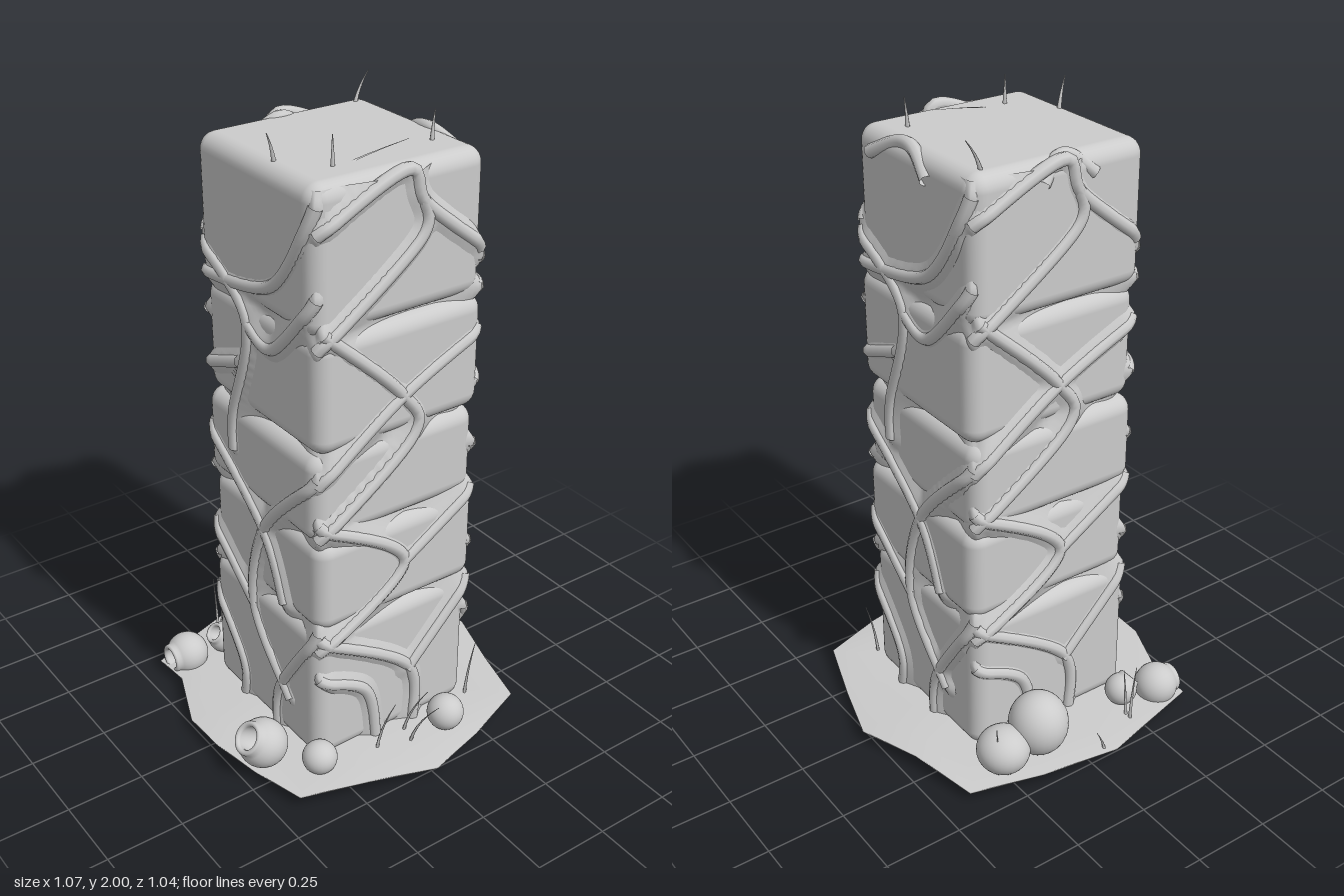
import * as THREE from 'three';
import { RoundedBoxGeometry } from 'three/addons/geometries/RoundedBoxGeometry.js';

const grey = new THREE.MeshStandardMaterial({ color: 0xcccccc, side: THREE.DoubleSide });
const SIDE = 0.6;   // width of one pillar face
const CX = 0.012;   // pillar centre in x

function add(parent, name, geometry) {
  const mesh = new THREE.Mesh(geometry, grey);
  mesh.name = name;
  parent.add(mesh);
  return mesh;
}

// Closed-around surface from a rule: columns run counter-clockwise, rows run upwards
function loft(rows, cols, rule) {
  const pos = [], index = [];
  for (let j = 0; j <= rows; j++)
    for (let i = 0; i < cols; i++) pos.push(...rule(i, j).toArray());
  for (let j = 0; j < rows; j++)
    for (let i = 0; i < cols; i++) {
      const a = j * cols + i, b = j * cols + (i + 1) % cols;
      index.push(a, b, a + cols, b, b + cols, a + cols);
    }
  const g = new THREE.BufferGeometry();
  g.setAttribute('position', new THREE.Float32BufferAttribute(pos, 3));
  g.setIndex(index);
  g.computeVertexNormals();
  return g;
}

// Point on the rounded-square outline; s = 0..4 runs front, +x, back, -x
function onPillar(s, y, half) {
  s = (s + 4) % 4;
  const f = Math.floor(s), t = (s - f) * 2 - 1, r = 0.06, k = half - r;
  const [x, z] = [[t, 1], [1, -t], [-t, -1], [-1, t]][f].map(v => v * half);
  const c = v => THREE.MathUtils.clamp(v, -k, k);
  const d = new THREE.Vector2(x - c(x), z - c(z)).setLength(r);
  return new THREE.Vector3(c(x) + d.x + CX, y, c(z) + d.y);
}

// Root paths as [across the face 0..1, height]; opposite faces share a set
const FRONT_ROOTS = [
  [[1, 1.86], [0.65, 1.58], [0, 1.5]],
  [[0, 1.6], [0.43, 1.43], [0.28, 1.1], [0.27, 0.97]],
  [[1, 1.6], [0.65, 1.39], [0.43, 1.42]],
  [[0, 1.2], [0.35, 1.28]],
  [[1, 1.05], [0.54, 0.77], [0.42, 0.45], [0.75, 0.2]],
  [[0, 1], [0.52, 0.77], [0.71, 0.55]],
  [[0, 0.65], [0.43, 0.45]],
  [[1, 0.52], [0.66, 0.22], [0.62, 0.05]],
  [[0, 0.4], [0.29, 0.19], [0.3, 0.05]],
];
const SIDE_ROOTS = [
  [[0, 1.78], [0.5, 1.91], [0.62, 1.8], [1, 1.62]],
  [[0.6, 1.82], [0.58, 1.7], [0, 1.45]],
  [[0.05, 1.5], [0.5, 1.25], [0.57, 1.1], [0, 0.85]],
  [[1, 1.38], [0.5, 1.24], [0, 1.03]],
  [[0, 0.9], [0.54, 0.68], [0, 0.45]],
  [[1, 0.85], [0.54, 0.68]],
  [[0, 0.5], [0.57, 0.28], [0.62, 0.05]],
  [[1, 0.52], [0.57, 0.26]],
  [[0, 0.35], [0.3, 0.25], [0.37, 0.05]],
];

// Thin tapering blade bending from (x, y, z) by a lean to its tip height
function blade(parent, y, radius, [x, z, leanX, leanZ, tip]) {
  const curve = new THREE.QuadraticBezierCurve3(
    new THREE.Vector3(x, y, z),
    new THREE.Vector3(x + leanX * 0.2, (y + tip) / 2, z + leanZ * 0.2),
    new THREE.Vector3(x + leanX, tip, z + leanZ));
  add(parent, 'grassBlade', loft(5, 5, (i, j) => {
    const w = i / 5 * Math.PI * 2, r = radius * (1 - j / 6);
    return curve.getPoint(j / 5).add(new THREE.Vector3(Math.sin(w) * r, 0, Math.cos(w) * r));
  }));
}

// Round hollow jar whose mouth points along (0, up, out)
function jar(parent, [x, y, z, r, up, out]) {
  const points = [];
  for (let i = 0; i <= 20; i++) {   // outer wall
    const a = Math.PI * 0.75 * i / 20;
    points.push(new THREE.Vector2(Math.sin(a) * r, -Math.cos(a) * r));
  }
  for (let i = 1; i <= 8; i++) {    // rolled lip
    const a = Math.PI * i / 8;
    points.push(new THREE.Vector2((0.58 + 0.12 * Math.cos(a)) * r, (0.82 + 0.14 * Math.sin(a)) * r));
  }
  points.push(new THREE.Vector2(0.5 * r, 0), new THREE.Vector2(0, -0.3 * r));
  const mesh = add(parent, 'jar', new THREE.LatheGeometry(points, 28));
  mesh.position.set(x, y, z);
  mesh.rotation.x = Math.atan2(out, up);
}

export function createModel() {
  const group = new THREE.Group();

  // Uneven ground sheet
  const rim = [[-0.1, 0.51], [0.06, 0.51], [0.22, 0.47], [0.4, 0.425], [0.47, 0.22], [0.53, 0], [0.48, -0.2],
    [0.405, -0.405], [0.2, -0.47], [0, -0.53], [-0.2, -0.46], [-0.42, -0.405],
    [-0.49, -0.18], [-0.535, 0.07], [-0.43, 0.435], [-0.3, 0.43]];
  const rows = [[0, 0.03], [0.62, 0.03], [0.85, 0.028], [1, 0.04], [1, 0.046], [0.85, 0.05], [0.62, 0.06], [0, 0.06]];
  add(group, 'ground', loft(rows.length - 1, rim.length, (i, j) => {
    const [k, y] = rows[j], [x, z] = rim[i];
    return new THREE.Vector3(x * k, y + 0.009 * Math.sin(i * 2.1) * k * k, z * k);
  }));

  // Stacked stone blocks
  const seams = [0.04, 0.52, 0.83, 1.12, 1.48, 1.915];
  for (let i = 0; i < 5; i++) {
    const h = seams[i + 1] - seams[i], shift = i % 2 ? 0.004 : -0.004;
    const block = add(group, 'stoneBlock', new RoundedBoxGeometry(0.582, h, 0.582, 4, 0.05));
    block.position.set(CX + shift, seams[i] + h / 2, -shift);
  }

  // Roots climbing over the faces
  const samples = [];
  for (let face = 0; face < 4; face++)
    for (const path of face % 2 ? SIDE_ROOTS : FRONT_ROOTS) {
      const flat = new THREE.SplineCurve(path.map(([u, y]) => new THREE.Vector2(face + u, y))).getPoints(36);
      samples.push(...flat);
      const curve = new THREE.CatmullRomCurve3(flat.map(p => onPillar(p.x, p.y, 0.293)));
      add(group, 'root', new THREE.TubeGeometry(curve, 36, 0.02, 8));
    }

  // Web of bark that swells towards the roots and sinks between them
  add(group, 'barkWeb', loft(110, 144, (i, j) => {
    const s = i / 36, y = 0.04 + 1.86 * j / 110;
    let d = 1;
    for (const p of samples) {
      const ds = Math.abs(p.x - s);
      d = Math.min(d, Math.hypot(Math.min(ds, 4 - ds) * SIDE, p.y - y));
    }
    return onPillar(s, y, 0.252 + 0.053 * Math.exp(-Math.pow(d / 0.075, 1.4)));
  }));

  // Root loops lying over the top rim
  for (const [s, width] of [[2.4, 0.5], [3.55, 0.3]]) {
    const pts = [];
    for (let i = 0; i <= 12; i++) {
      const lift = Math.sin(Math.PI * i / 12);
      pts.push(onPillar(s + width * (i / 12 - 0.5), 1.85 + 0.06 * lift, 0.29 - 0.03 * lift));
    }
    add(group, 'rimRoot', new THREE.TubeGeometry(new THREE.CatmullRomCurve3(pts), 24, 0.02, 8));
  }

  // Jars: centre, radius, mouth direction
  [[0.195, 0.115, 0.425, 0.078, 0.6, 0.75], [-0.378, 0.072, 0.36, 0.07, 0, 1],
    [-0.355, 0.095, 0.23, 0.052, 0.65, 0.75]].forEach(j => jar(group, j));

  // Boulders: centre, width radius, height radius
  for (const [x, y, z, r, h] of [[0.392, 0.1, -0.137, 0.059, 0.059], [0.325, 0.088, 0.302, 0.055, 0.053],
    [-0.38, 0.145, -0.122, 0.095, 0.105], [-0.38, 0.105, -0.255, 0.084, 0.075]]) {
    const boulder = add(group, 'boulder', new THREE.SphereGeometry(r, 28, 20));
    boulder.position.set(x, y, z);
    boulder.scale.y = h / r;
  }

  // Grass on the ground: foot, lean, tip height
  [[-0.44, 0.2, -0.02, 0, 0.26], [-0.42, 0.2, 0.03, 0.01, 0.2], [-0.51, 0.04, 0.015, -0.02, 0.11],
    [-0.39, -0.28, -0.02, -0.02, 0.22], [0.34, -0.01, 0.06, -0.045, 0.22], [0.39, 0, 0.09, -0.035, 0.22],
    [0.36, 0.11, 0.04, -0.04, 0.23], [0.315, -0.28, 0, -0.04, 0.25]].forEach(b => blade(group, 0.045, 0.006, b));

  // Shoots on the top, one of them lying down
  [[-0.23, -0.22, 0, -0.05, 2], [0.17, -0.19, 0, -0.01, 2], [0.185, 0.15, 0, 0, 2],
    [0.06, 0.25, 0.02, 0.035, 2], [0.185, 0.14, 0, -0.24, 1.94]].forEach(b => blade(group, 1.9, 0.008, b));

  return group;
}
